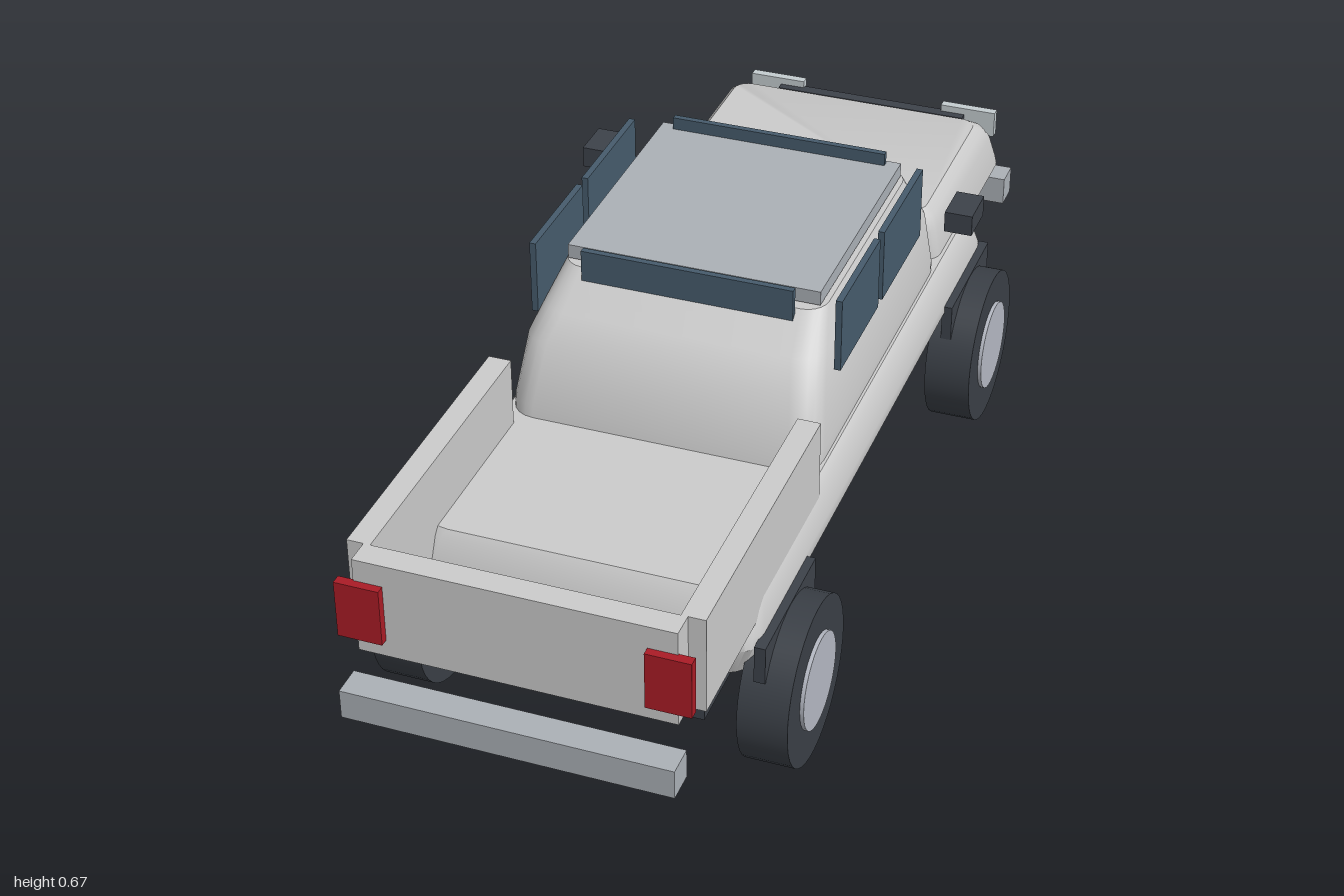
import * as THREE from 'three';
import { toCreasedNormals } from 'three/addons/utils/BufferGeometryUtils.js';

const mat = (color) => new THREE.MeshStandardMaterial({ color });

// Stacked rounded rectangles; each ring is [y, halfWidth, zMin, zMax, radius]
function loft(rings, steps = 5) {
  const pos = [], idx = [];
  const n = 4 * (steps + 1);
  for (const [y, w, z0, z1, r] of rings) {
    const corners = [[w - r, z1 - r], [-w + r, z1 - r], [-w + r, z0 + r], [w - r, z0 + r]];
    corners.forEach(([cx, cz], q) => {
      for (let i = 0; i <= steps; i++) {
        const a = (q + i / steps) * Math.PI / 2;
        pos.push(cx + r * Math.cos(a), y, cz + r * Math.sin(a));
      }
    });
  }
  for (let k = 0; k < rings.length - 1; k++) {
    for (let i = 0; i < n; i++) {
      const a = k * n + i, b = k * n + (i + 1) % n;
      idx.push(a, a + n, b, b, a + n, b + n);
    }
  }
  const top = (rings.length - 1) * n;
  for (let i = 1; i < n - 1; i++) {
    idx.push(0, i, i + 1);
    idx.push(top, top + i + 1, top + i);
  }
  const g = new THREE.BufferGeometry();
  g.setAttribute('position', new THREE.Float32BufferAttribute(pos, 3));
  g.setIndex(idx);
  return toCreasedNormals(g, 0.6);
}

export function createModel() {
  const model = new THREE.Group();
  model.name = 'pickupTruck';

  const paint = mat(0xcccccc);
  const trim = mat(0xabb0b6);
  const dark = mat(0x3d424a);
  const rubber = mat(0x3a3f46);
  const glass = mat(0x465b6c);
  const red = mat(0xaa1c26);
  const lamp = mat(0xc4ccd0);
  const rim = mat(0xb4b8c2);

  function add(name, geometry, material) {
    const m = new THREE.Mesh(geometry, material);
    m.name = name;
    model.add(m);
    return m;
  }
  // Box given by its extents on each axis
  function box(name, material, [x0, x1], [y0, y1], [z0, z1]) {
    const m = add(name, new THREE.BoxGeometry(x1 - x0, y1 - y0, z1 - z0), material);
    m.position.set((x0 + x1) / 2, (y0 + y1) / 2, (z0 + z1) / 2);
  }
  // The same box on both sides
  function pair(name, material, [x0, x1], ys, zs) {
    box(name + 'Left', material, [x0, x1], ys, zs);
    box(name + 'Right', material, [-x1, -x0], ys, zs);
  }

  // Chassis and lower body
  box('chassis', dark, [-0.23, 0.23], [0.137, 0.207], [-0.7, 0.7]);
  add('lowerBody', loft([
    [0.228, 0.29, -0.695, 0.675, 0.04],
    [0.295, 0.318, -0.715, 0.7, 0.05],
    [0.315, 0.317, -0.71, 0.697, 0.05],
    [0.375, 0.305, -0.685, 0.67, 0.05],
    [0.388, 0.295, -0.675, 0.66, 0.05],
  ]), paint);

  // Hood with a sloping nose
  add('hood', loft([
    [0.37, 0.29, -0.925, -0.45, 0.035],
    [0.39, 0.288, -0.918, -0.45, 0.035],
    [0.445, 0.28, -0.893, -0.45, 0.035],
    [0.472, 0.27, -0.872, -0.455, 0.035],
    [0.489, 0.255, -0.845, -0.46, 0.03],
  ]), paint);

  // Cabin and roof
  add('cabin', loft([
    [0.385, 0.29, -0.457, 0.305, 0.05],
    [0.41, 0.29, -0.455, 0.3, 0.05],
    [0.52, 0.277, -0.438, 0.26, 0.05],
    [0.56, 0.264, -0.415, 0.215, 0.05],
    [0.615, 0.245, -0.383, 0.14, 0.04],
  ]), paint);
  box('roof', trim, [-0.237, 0.237], [0.62, 0.647], [-0.357, 0.125]);

  // Windows
  box('windshield', glass, [-0.21, 0.21], [0.61, 0.671], [-0.35, -0.338]);
  box('rearWindow', glass, [-0.198, 0.198], [0.592, 0.661], [0.148, 0.16]);
  pair('frontWindow', glass, [0.279, 0.291], [0.525, 0.666], [-0.316, -0.075]);
  pair('backWindow', glass, [0.279, 0.291], [0.525, 0.666], [-0.05, 0.172]);
  pair('mirror', dark, [0.336, 0.389], [0.542, 0.583], [-0.4, -0.318]);

  // Cargo bed
  pair('bedWall', paint, [0.265, 0.307], [0.337, 0.52], [0.33, 0.9]);
  box('tailgate', paint, [-0.277, 0.277], [0.337, 0.52], [0.9, 0.945]);
  box('bedFloor', dark, [-0.255, 0.255], [0.323, 0.337], [0.35, 0.91]);
  pair('tailLight', red, [0.226, 0.305], [0.37, 0.478], [0.942, 0.96]);

  // Bumpers, grille and headlights
  box('rearBumper', trim, [-0.29, 0.29], [0.234, 0.289], [0.945, 1]);
  box('frontBumper', trim, [-0.297, 0.297], [0.25, 0.307], [-1, -0.945]);
  box('grille', dark, [-0.2, 0.2], [0.33, 0.437], [-0.965, -0.94]);
  pair('headlight', lamp, [0.15, 0.265], [0.397, 0.451], [-0.975, -0.957]);

  // Wheels with hubs and arch guards
  const tyreGeo = new THREE.CylinderGeometry(0.153, 0.153, 0.09, 40).rotateZ(Math.PI / 2);
  const hubGeo = new THREE.CylinderGeometry(0.088, 0.088, 0.096, 32).rotateZ(Math.PI / 2);
  for (const [end, z] of [['rear', 0.557], ['front', -0.555]]) {
    for (const [side, s] of [['Left', 1], ['Right', -1]]) {
      add(end + 'Tyre' + side, tyreGeo, rubber).position.set(s * 0.335, 0.153, z);
      add(end + 'Hub' + side, hubGeo, rim).position.set(s * 0.339, 0.155, z);
    }
    pair(end + 'Arch', dark, [0.313, 0.333], [0.235, 0.308], [z - 0.132, z + 0.132]);
  }
  return model;
}
